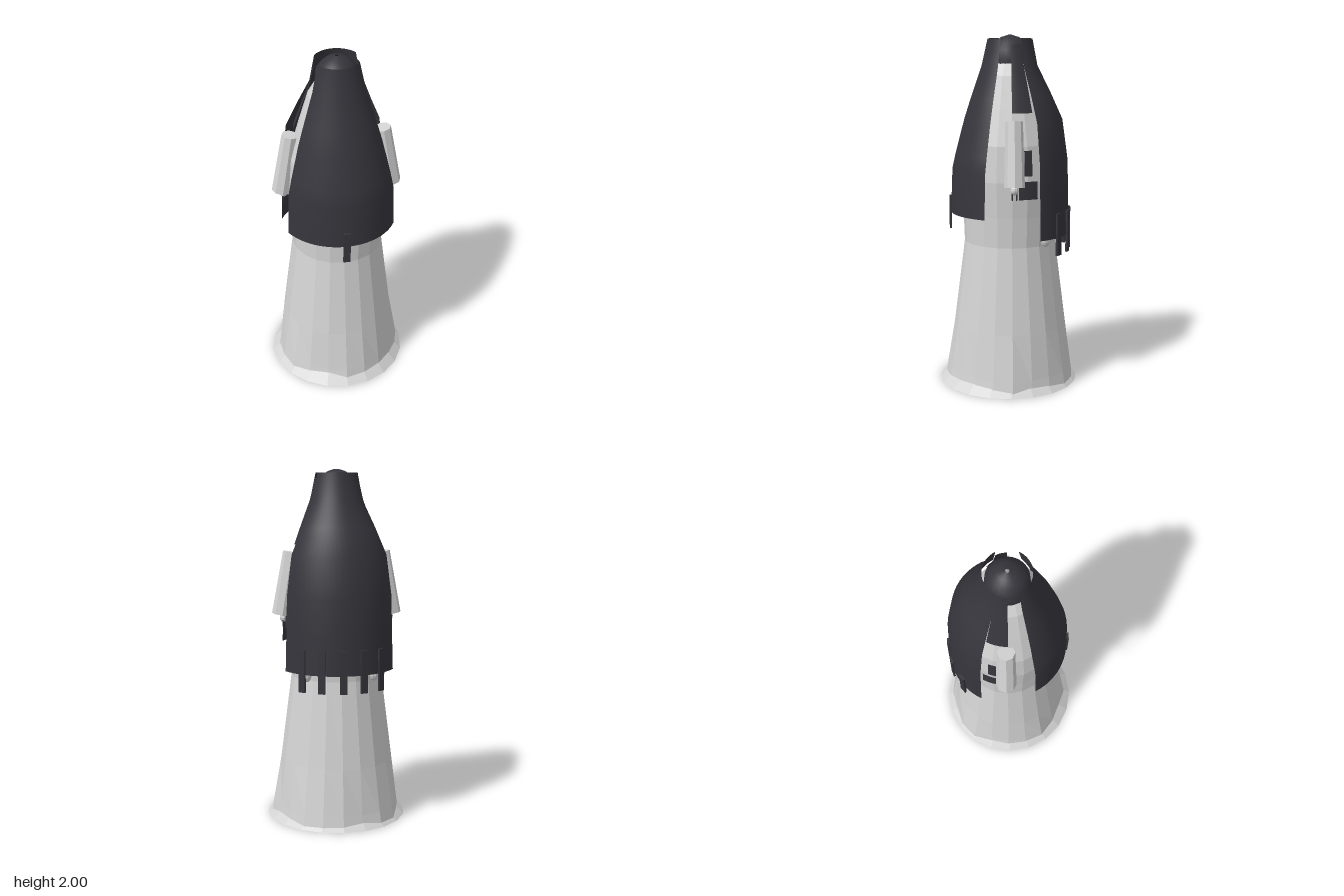
import * as THREE from 'three';

const rad = THREE.MathUtils.degToRad;

export function createModel() {
  const model = new THREE.Group();
  const paleCloth = new THREE.MeshStandardMaterial({ color: 0xd4d4d4, flatShading: true, side: THREE.DoubleSide });
  const darkCloth = new THREE.MeshStandardMaterial({ color: 0x36353c, side: THREE.DoubleSide });
  paleCloth.name = 'pale cloth';
  darkCloth.name = 'dark cloth';
  const centreZ = -0.01;

  function add(name, geometry, material, x = 0, y = 0, z = 0) {
    const mesh = new THREE.Mesh(geometry, material);
    mesh.name = name;
    mesh.position.set(x, y, z);
    model.add(mesh);
    return mesh;
  }
  // Sheet revolved between two angles (degrees, 0 = front, 90 = model's left)
  function sheet(name, profile, from, to, material, sides) {
    const points = profile.map(([r, y]) => new THREE.Vector2(r, y));
    const geometry = new THREE.LatheGeometry(points, sides, rad(from), rad(to - from));
    return add(name, geometry, material, 0, 0, centreZ);
  }

  // Long robe with an uneven hem
  const robe = sheet('robe', [[0.372, 0], [0.36, 0.08], [0.325, 0.34], [0.262, 0.83], [0.268, 1.0],
    [0.282, 1.2], [0.268, 1.4], [0.212, 1.6], [0.158, 1.78], [0.11, 1.86]], 0, 360, paleCloth, 20);
  const pos = robe.geometry.attributes.position;
  for (let i = 0; i < pos.count; i++) {
    if (pos.getY(i) > 0.1) continue;
    const a = Math.atan2(pos.getX(i), pos.getZ(i));
    const k = 1 + 0.022 * Math.sin(a * 5 + 0.6) + 0.012 * Math.cos(a * 8);
    pos.setX(i, pos.getX(i) * k);
    pos.setZ(i, pos.getZ(i) * k);
  }
  robe.geometry.computeVertexNormals();
  // Flared ground hem
  sheet('hem', [[0.402, 0], [0.33, 0.07]], 0, 360, paleCloth, 20).position.z = 0;

  // Domed head inside the collar
  sheet('head', [[0.125, 1.74], [0.118, 1.86], [0.114, 1.92], [0.085, 1.96], [0.05, 1.988], [0.01, 2.0]],
    0, 360, darkCloth, 24);

  // Front and back cape panels
  sheet('frontCape', [[0.34, 1.0], [0.33, 1.25], [0.31, 1.34], [0.26, 1.53], [0.225, 1.64], [0.16, 1.83], [0.126, 1.98]],
    -63, 63, darkCloth, 20);
  sheet('backCape', [[0.342, 0.88], [0.335, 1.1], [0.33, 1.3], [0.298, 1.53], [0.23, 1.68], [0.155, 1.83], [0.126, 1.98]],
    117, 243, darkCloth, 20);

  for (const s of [-1, 1]) {
    const span = (a, b) => (s > 0 ? [a, b] : [-b, -a]);
    // Shoulder part of the back cape and the torn lining below it
    sheet('shoulderCape', [[0.24, 1.58], [0.205, 1.68], [0.15, 1.83], [0.122, 1.95]], ...span(90, 118), darkCloth, 5);
    sheet('liningBand', [[0.3, 1.11], [0.297, 1.21]], ...span(97, 118), darkCloth, 4);
    sheet('liningTear', [[0.296, 1.24], [0.286, 1.38]], ...span(103, 112), darkCloth, 2);

    // Tilted sleeve with open cuff
    const sleeve = new THREE.Group();
    sleeve.name = s > 0 ? 'leftSleeve' : 'rightSleeve';
    sleeve.position.set(s * 0.286, 1.36, -0.02);
    sleeve.rotation.z = s * 0.16;
    const tube = new THREE.Mesh(new THREE.CylinderGeometry(0.048, 0.057, 0.36, 8), paleCloth);
    tube.name = 'sleeve';
    sleeve.add(tube);
    model.add(sleeve);

    // Small hand below the cuff
    const palm = add('hand', new THREE.SphereGeometry(0.022, 8, 6), paleCloth, s * 0.305, 1.165, -0.02);
    palm.scale.y = 1.2;
    for (const z of [-0.032, -0.008]) {
      add('finger', new THREE.CylinderGeometry(0.005, 0.003, 0.05, 6), darkCloth, s * 0.308, 1.135, z);
    }

    // Pouch hanging beneath the back cape
    add('pouch', new THREE.SphereGeometry(0.032, 10, 8), paleCloth, s * 0.19, 0.87, -0.2).scale.y = 1.5;

    // Foot hidden beneath the robe
    add('foot', new THREE.SphereGeometry(0.05, 12, 8), paleCloth, s * 0.12, 0.05, -0.06).scale.set(0.85, 0.5, 1.3);
    add('heel', new THREE.SphereGeometry(0.018, 8, 6), paleCloth, s * 0.12, 0.045, -0.13);
  }

  // Hanging cloth strips: angle, lower end, upper end
  const strips = [[0, 0.9, 1.09], [140, 0.78, 1.02], [160, 0.78, 1.02], [180, 0.78, 1.02],
    [200, 0.78, 1.02], [220, 0.78, 1.02]];
  for (const [angle, low, high] of strips) {
    const a = rad(angle);
    const r = 0.343;
    const strip = add('capeStrip', new THREE.BoxGeometry(0.04, high - low, 0.012), darkCloth,
      Math.sin(a) * r, (low + high) / 2, centreZ + Math.cos(a) * r);
    strip.rotation.y = a;
  }
  return model;
}
